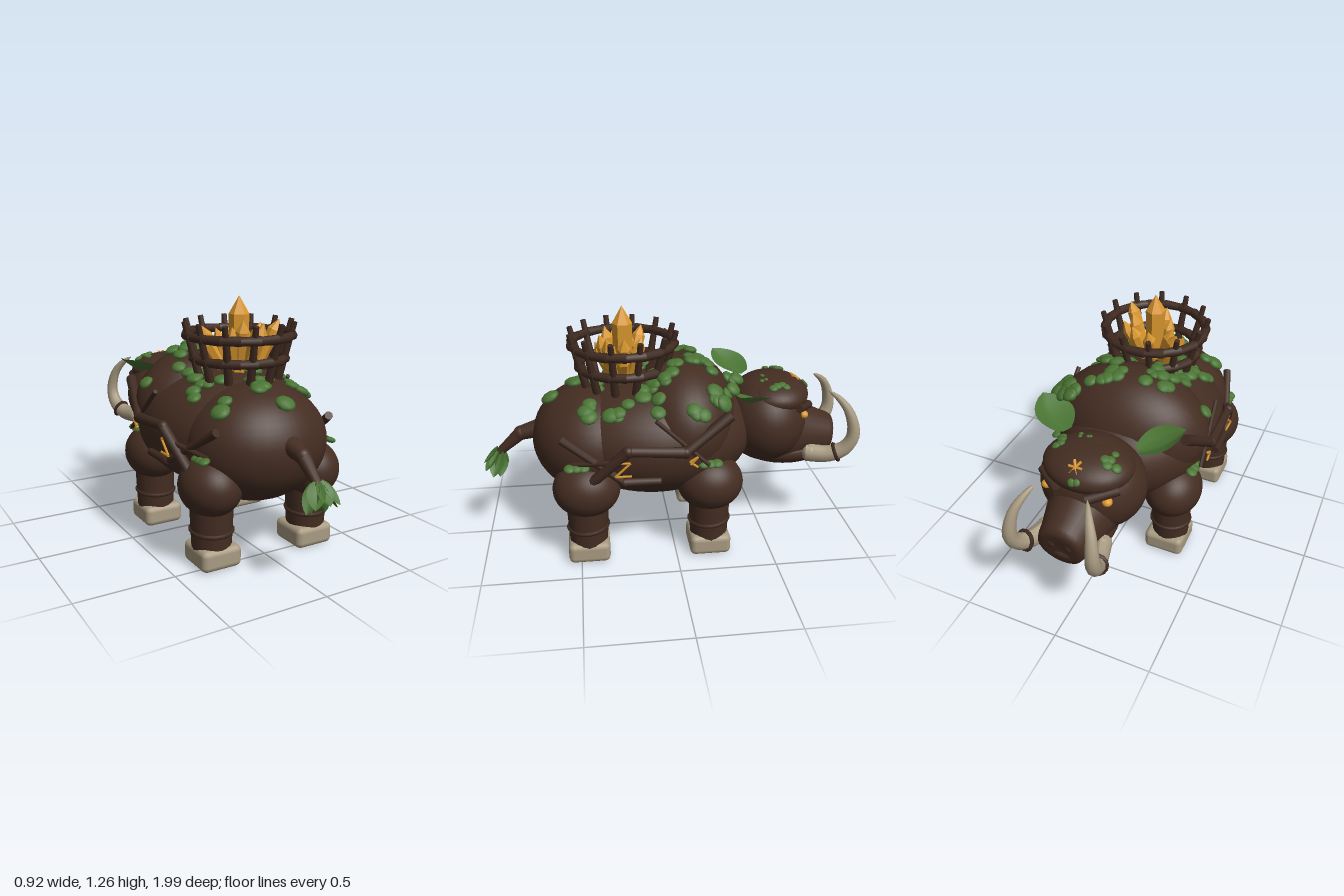
import * as THREE from 'three';
import { RoundedBoxGeometry } from 'three/addons/geometries/RoundedBoxGeometry.js';

const mat = (name, color, extra = {}) => Object.assign(new THREE.MeshStandardMaterial({ color, ...extra }), { name });
const V = (x, y, z) => new THREE.Vector3(x, y, z);
const UP = V(0, 1, 0);

export function createModel() {
  const model = new THREE.Group();
  const hide = mat('hide brown', 0x442d22);
  const bark = mat('bark brown', 0x3f2a20);
  const bone = mat('bone', 0xa99b82);
  const green = mat('leaf green', 0x4a7433, { side: THREE.DoubleSide });
  const gold = mat('amber', 0xdb982f);

  let seed = 7;
  const rand = () => (seed = (seed * 16807) % 2147483647) / 2147483647;

  function add(name, geo, material, pos = V(0, 0, 0)) {
    const m = new THREE.Mesh(geo, material);
    m.name = name;
    m.position.copy(pos);
    model.add(m);
    return m;
  }
  function ellipsoid(name, c, r, material = hide) {
    const m = add(name, new THREE.SphereGeometry(1, 36, 24), material, V(...c));
    m.scale.set(...r);
    return m;
  }
  // Tapered stick between two points
  function rod(name, a, b, r0, r1, material = bark, sides = 8) {
    const d = b.clone().sub(a);
    const m = add(name, new THREE.CylinderGeometry(r1, r0, d.length(), sides), material, a.clone().add(b).multiplyScalar(0.5));
    m.quaternion.setFromUnitVectors(UP, d.normalize());
    return m;
  }
  // Folded pointed leaf from base to tip, facing the given direction
  function leaf(name, base, tip, width, face) {
    const y = tip.clone().sub(base), len = y.length();
    y.normalize();
    const x = y.clone().cross(face).normalize(), z = x.clone().cross(y);
    const geo = new THREE.PlaneGeometry(2, 1, 4, 8), p = geo.attributes.position;
    for (let i = 0; i < p.count; i++) {
      const t = p.getY(i) + 0.5, u = p.getX(i);
      const half = width / 2 * Math.sin(Math.PI * (0.1 + 0.9 * t)) ** 0.8;
      p.setXYZ(i, u * half, t * len, Math.abs(u) * half * 0.4 - Math.sin(Math.PI * t) * len * 0.08);
    }
    geo.computeVertexNormals();
    geo.applyMatrix4(new THREE.Matrix4().makeBasis(x, y, z));
    return add(name, geo, green, base);
  }

  // Body masses
  const masses = [
    ['barrel', [0, 0.59, 0.08], [0.43, 0.32, 0.53]],
    ['rump', [0, 0.57, 0.4], [0.365, 0.293, 0.33]],
    ['shoulderHump', [0, 0.67, -0.07], [0.42, 0.325, 0.285]],
    ['head', [0, 0.63, -0.52], [0.27, 0.24, 0.225]],
    ['foreheadCap', [0, 0.77, -0.56], [0.225, 0.1, 0.19]],
  ];
  masses.forEach(m => ellipsoid(...m));
  ellipsoid('jaw', [0, 0.45, -0.645], [0.165, 0.09, 0.24]);

  // Snout with a rolled rim and nostrils
  const profile = [[0.19, 0], [0.165, 0.1], [0.132, 0.22], [0.125, 0.26], [0.115, 0.285], [0.08, 0.29], [0, 0.285]]
    .map(p => new THREE.Vector2(...p));
  const snout = add('snout', new THREE.LatheGeometry(profile, 28), hide, V(0, 0.55, -0.6));
  snout.rotation.x = -Math.PI / 2 - 0.18;

  for (const s of [1, -1]) {
    ellipsoid('nostril', [s * 0.045, 0.52, -0.884], [0.02, 0.025, 0.01], bark);

    // Eyes and brows
    ellipsoid('eye', [s * 0.157, 0.69, -0.695], [0.025, 0.021, 0.025], gold);
    rod('brow', V(s * 0.2, 0.74, -0.655), V(s * 0.07, 0.71, -0.745), 0.022, 0.025);

    // Tusks: swept tube, thick to the elbow, then narrowed to a point
    const path = new THREE.CatmullRomCurve3([[0.14, 0.46, -0.73], [0.175, 0.46, -0.84], [0.2, 0.5, -0.92],
      [0.21, 0.58, -0.96], [0.195, 0.7, -0.935], [0.165, 0.765, -0.89], [0.13, 0.81, -0.83]].map(([x, y, z]) => V(s * x, y, z)));
    const rings = 20, sides = 10;
    const tusk = new THREE.TubeGeometry(path, rings, 1, sides), tp = tusk.attributes.position, q = V(0, 0, 0);
    for (let i = 0; i < tp.count; i++) {
      const t = Math.floor(i / (sides + 1)) / rings, c = path.getPointAt(t);
      const r = 0.05 * (1 - t) ** 0.55 + 0.001;
      q.fromBufferAttribute(tp, i).sub(c).multiplyScalar(r).add(c);
      tp.setXYZ(i, q.x, q.y, q.z);
    }
    tusk.computeVertexNormals();
    add('tusk', tusk, bone);
    ellipsoid('tuskRoot', [s * 0.145, 0.46, -0.75], [0.05, 0.05, 0.045], bone);
    const band = add('tuskBand', new THREE.TorusGeometry(0.046, 0.01, 6, 14), bark, path.getPointAt(0.27));
    band.quaternion.setFromUnitVectors(V(0, 0, 1), path.getTangentAt(0.27));

    // Leaf ears, cupped toward the head
    leaf('ear', V(s * 0.2, 0.8, -0.435), V(s * 0.385, 0.895, -0.3), 0.2, V(s * -0.65, 0.9, -0.4));

    // Legs
    for (const z of [0.457, -0.178]) {
      const x = s * 0.28;
      ellipsoid('thigh', [s * 0.287, 0.4, z], [0.152, 0.148, 0.172]);
      add('leg', new THREE.CylinderGeometry(0.108, 0.098, 0.22, 20), hide, V(x, 0.19, z));
      const fold = add('legFold', new THREE.TorusGeometry(0.102, 0.011, 6, 20), bark, V(x, 0.18, z));
      fold.rotation.x = Math.PI / 2 + 0.06;
      add('foot', new RoundedBoxGeometry(0.215, 0.11, 0.215, 2, 0.03), bone, V(x * 0.975, 0.055, z));
    }

    // Roots and branches along the flanks
    const branches = [
      [[0.37, 0.8, -0.26], [0.43, 0.64, -0.03], [0.43, 0.66, 0.25], [0.37, 0.42, 0.49]],
      [[0.32, 0.69, 0.57], [0.42, 0.49, 0.27], [0.425, 0.49, 0.09]],
      [[0.4, 0.8, 0.11], [0.42, 0.56, -0.15]],
      [[0.42, 0.6, 0.3], [0.34, 0.56, 0.53]],
    ];
    branches.forEach((pts, k) => {
      const p = pts.map(([x, y, z]) => V(s * x, y, z)), r = [0.029, 0.022, 0.012, 0.014][k];
      for (let i = 0; i + 1 < p.length; i++) {
        rod('flankBranch', p[i], p[i + 1], r, r * 0.85);
        if (i) ellipsoid('branchKnot', p[i].toArray(), [r, r, r], bark);
      }
    });

    // Amber zigzag marks
    const zigs = [[[0.605, 0.32], [0.6, 0.24], [0.53, 0.315], [0.53, 0.235]],
      [[0.575, -0.055], [0.615, -0.09], [0.59, -0.05], [0.56, -0.09]]];
    for (const zig of zigs)
      for (let i = 0; i + 1 < zig.length; i++)
        rod('flankMark', V(s * 0.434, ...zig[i]), V(s * 0.434, ...zig[i + 1]), 0.0065, 0.0065, gold, 5);
  }

  // Amber mark on the forehead
  for (let i = 0; i < 3; i++) {
    const a = i * Math.PI / 3, dx = Math.cos(a) * 0.035, dz = Math.sin(a) * 0.03;
    rod('foreheadMark', V(-dx, 0.838 - dz * 0.8, -0.69 - dz), V(dx, 0.838 + dz * 0.8, -0.69 + dz), 0.008, 0.008, gold, 5);
  }

  // Tail with a tuft of leaves around its axis
  const tail = [V(0, 0.62, 0.69), V(0, 0.595, 0.79), V(0, 0.49, 0.91)];
  rod('tailBase', tail[0], tail[1], 0.05, 0.038, hide, 12);
  ellipsoid('tailJoint', tail[1].toArray(), [0.039, 0.039, 0.039]);
  rod('tailEnd', tail[1], tail[2], 0.037, 0.022, hide, 12);
  for (let i = 0; i < 7; i++) {
    const a = i * Math.PI * 2 / 7 + Math.PI / 2, c = Math.cos(a), s = Math.sin(a);
    const out = V(c, s * 0.55, s * 0.83);
    leaf('tailLeaf', V(0, 0.505, 0.905).addScaledVector(out, 0.012), V(c * 0.088, 0.39 + s * 0.035, 0.955 + s * 0.045), 0.085,
      V(c * 0.8, 0.3 + s * 0.5, 0.5 + s * 0.8));
  }

  // Foliage clumps laid on the upper surface
  function clump(p, n, r) {
    const m = add('foliage', new THREE.IcosahedronGeometry(r, 1), green, p.clone().addScaledVector(n, r * 0.2));
    m.scale.set(1, 0.5, 1);
    m.quaternion.setFromUnitVectors(UP, n);
    m.rotateY(rand() * 6);
  }
  function surface(x, z) {
    let best = null;
    for (const [, c, r] of masses) {
      const u = (x - c[0]) / r[0], w = (z - c[2]) / r[2], k = 1 - u * u - w * w;
      if (k <= 0.02) continue;
      const v = Math.sqrt(k), y = c[1] + r[1] * v;
      if (!best || y > best.p.y) best = { p: V(x, y, z), n: V(u / r[0], v / r[1] + 1.2, w / r[2]).normalize() };
    }
    // Shoulder foliage forms a raised canopy
    if (best && z > -0.36 && z < 0.05) best.p.y = Math.max(best.p.y, 0.985 - 1.15 * x * x);
    return best;
  }
  const patches = [ // x, z, spread, count, size
    [0.22, -0.25, 0.08, 7, 0.036], [0.31, -0.21, 0.05, 5, 0.042], [0.12, -0.14, 0.09, 8, 0.034],
    [-0.17, -0.06, 0.1, 9, 0.034], [-0.04, -0.1, 0.08, 4, 0.03], [-0.22, 0.12, 0.08, 6, 0.038],
    [0.23, 0.1, 0.09, 8, 0.038], [0.1, 0.05, 0.1, 6, 0.034], [0.28, 0.28, 0.06, 5, 0.038],
    [0, 0.25, 0.16, 9, 0.034], [-0.25, 0.3, 0.05, 4, 0.036], [-0.24, 0.48, 0.03, 2, 0.045],
    [0.23, 0.46, 0.06, 4, 0.038], [0.02, 0.62, 0.005, 1, 0.042], [-0.03, 0.47, 0.05, 4, 0.036],
    [0.38, -0.1, 0.03, 3, 0.034], [-0.37, -0.02, 0.02, 2, 0.034],
    [-0.14, -0.59, 0.05, 5, 0.022], [0.12, -0.56, 0.05, 4, 0.02], [0.05, -0.5, 0.04, 4, 0.013],
    [0, -0.715, 0.04, 3, 0.016],
  ];
  for (const [x, z, spread, count, size] of patches)
    for (let i = 0; i < count; i++) {
      const a = rand() * Math.PI * 2, d = Math.sqrt(rand()) * spread;
      const hit = surface(x + Math.cos(a) * d, z + Math.sin(a) * d);
      if (hit) clump(hit.p, hit.n, size * (0.75 + rand() * 0.5));
    }
  for (const s of [1, -1])
    for (const z of [0.5, -0.16])
      for (let i = -1; i <= 1; i++)
        clump(V(s * (0.4 - Math.abs(z) * 0.08), 0.545, z + i * 0.035), V(s * 0.3, 0.95, 0).normalize(), 0.03);

  // Basket: two hoops of jointed sticks and leaning posts
  const around = (r, y, a) => V(Math.cos(a) * r, y, 0.24 + Math.sin(a) * r);
  for (const [y, r] of [[1.075, 0.266], [0.96, 0.232]])
    for (let i = 0; i < 18; i++) {
      const a = i * Math.PI / 9;
      rod('basketHoop', around(r, y, a - 0.02), around(r, y, a + Math.PI / 9 + 0.02), 0.025, 0.021);
    }
  for (let i = 0; i < 12; i++) {
    const a = (i + 0.5) * Math.PI / 6;
    rod('basketPost', around(0.2, 0.86, a), around(0.277, 1.145, a), 0.022, 0.014, bark, 6);
  }

  // Amber crystal cluster: six-sided pointed prisms
  function crystal(base, tip, r, point) {
    const d = tip.clone().sub(base), length = d.length();
    const pts = [[r * 0.85, 0], [r, length - point], [0, length]].map(p => new THREE.Vector2(...p));
    const geo = new THREE.LatheGeometry(pts, 6).toNonIndexed();
    geo.computeVertexNormals();
    add('crystal', geo, gold, base).quaternion.setFromUnitVectors(UP, d.normalize());
  }
  crystal(V(0, 0.88, 0.24), V(0, 1.265, 0.24), 0.052, 0.09);
  const tips = [[-0.16, 1.12, 0.13], [-0.11, 1.11, 0.2], [-0.03, 1.155, 0.33], [0.07, 1.14, 0.36], [0.18, 1.15, 0.33],
    [0.13, 1.13, 0.24], [0.02, 1.09, 0.38], [0.1, 1.1, 0.16], [-0.07, 1.12, 0.29], [0.19, 1.07, 0.25], [-0.18, 1.08, 0.19], [0, 1.1, 0.14]];
  for (const [x, y, z] of tips)
    crystal(V(x * 0.45, 0.91, 0.24 + (z - 0.24) * 0.45), V(x, y, z), 0.034, 0.06);
  return model;
}
